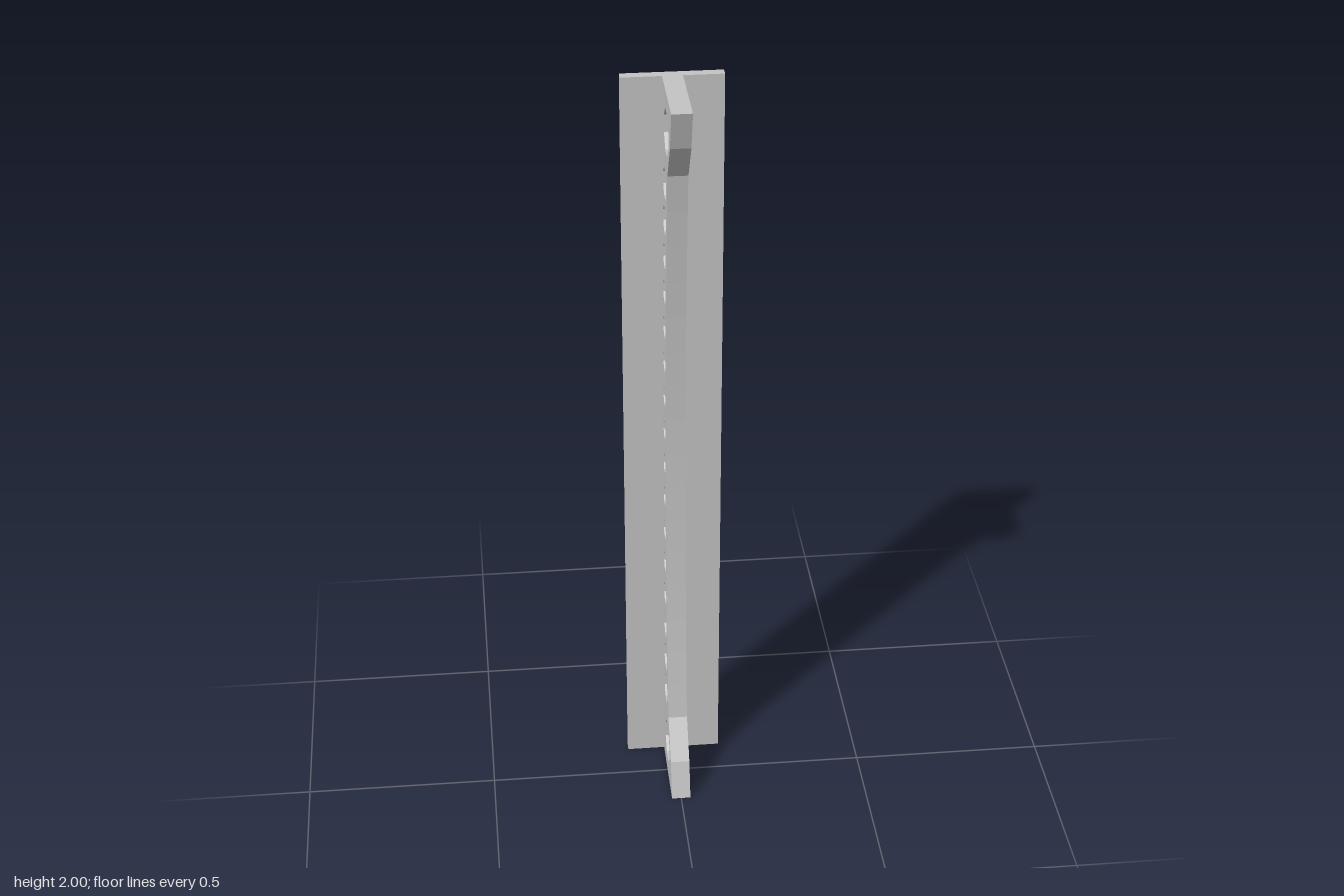
import * as THREE from 'three';

const BACK = -0.125, JOIN = -0.1, HALF_WEB = 0.025;

// Remove every triangle whose three corners all satisfy the test
function dropFaces(source, test) {
  const geo = source.index ? source.toNonIndexed() : source;
  const p = geo.attributes.position;
  const kept = [];
  for (let i = 0; i < p.count; i += 3) {
    const tri = [0, 1, 2].map(k => new THREE.Vector3().fromBufferAttribute(p, i + k));
    if (!tri.every(test)) tri.forEach(v => kept.push(v.x, v.y, v.z));
  }
  const out = new THREE.BufferGeometry();
  out.setAttribute('position', new THREE.Float32BufferAttribute(kept, 3));
  out.computeVertexNormals();
  return out;
}

// Front edge of the slender middle part of the web
const frontEdge = y => -0.026 + 0.054 * ((y - 1) / 0.8) ** 2;

// Eight-sided hole with flats facing up and sideways
function hole(z, y, r) {
  const pts = [];
  for (let i = 0; i < 8; i++) {
    const a = (i + 0.5) * Math.PI / 4;
    pts.push(new THREE.Vector2(z + r * Math.cos(a), y + r * Math.sin(a)));
  }
  return new THREE.Path(pts);
}

function webGeometry() {
  const pts = [[JOIN, 0], [0.125, 0], [0.094, 0.1]];
  for (let i = 0; i <= 16; i++) {
    const y = 0.2 + i * 0.1;
    pts.push([frontEdge(y), y]);
  }
  pts.push([0.094, 1.9], [0.125, 2], [JOIN, 2]);
  const shape = new THREE.Shape(pts.map(([z, y]) => new THREE.Vector2(z, y)));

  // Large end holes, then a row that narrows with the web
  for (const y of [0.1, 1.9]) shape.holes.push(hole(0, y, 0.058));
  for (let i = 0; i < 16; i++) {
    const y = 0.25 + i * 0.1, f = frontEdge(y);
    shape.holes.push(hole((f + JOIN) / 2, y, (f - JOIN) * 0.335));
  }
  const geo = new THREE.ExtrudeGeometry(shape, { depth: HALF_WEB * 2, bevelEnabled: false });
  geo.rotateY(-Math.PI / 2).translate(HALF_WEB, 0, 0);
  // The hollow web is open where it meets the flange
  return dropFaces(geo, v => Math.abs(v.z - JOIN) < 1e-4);
}

function flangeGeometry() {
  const geo = new THREE.BoxGeometry(0.25, 2, JOIN - BACK, 5, 1, 1);
  geo.translate(0, 1, (JOIN + BACK) / 2);
  // Open back, and a slot leading into the web
  const shell = dropFaces(geo, v => Math.abs(v.z - BACK) < 1e-4);
  return dropFaces(shell, v => Math.abs(v.z - JOIN) < 1e-4 && Math.abs(v.x) < HALF_WEB + 1e-4);
}

export function createModel() {
  const group = new THREE.Group();
  group.name = 'perforatedBeam';
  const grey = new THREE.MeshStandardMaterial({ color: 0xc4c4c4, side: THREE.DoubleSide, flatShading: true });
  grey.name = 'lightGrey';

  const web = new THREE.Mesh(webGeometry(), grey);
  web.name = 'web';
  const flange = new THREE.Mesh(flangeGeometry(), grey);
  flange.name = 'flange';
  group.add(web, flange);
  return group;
}
